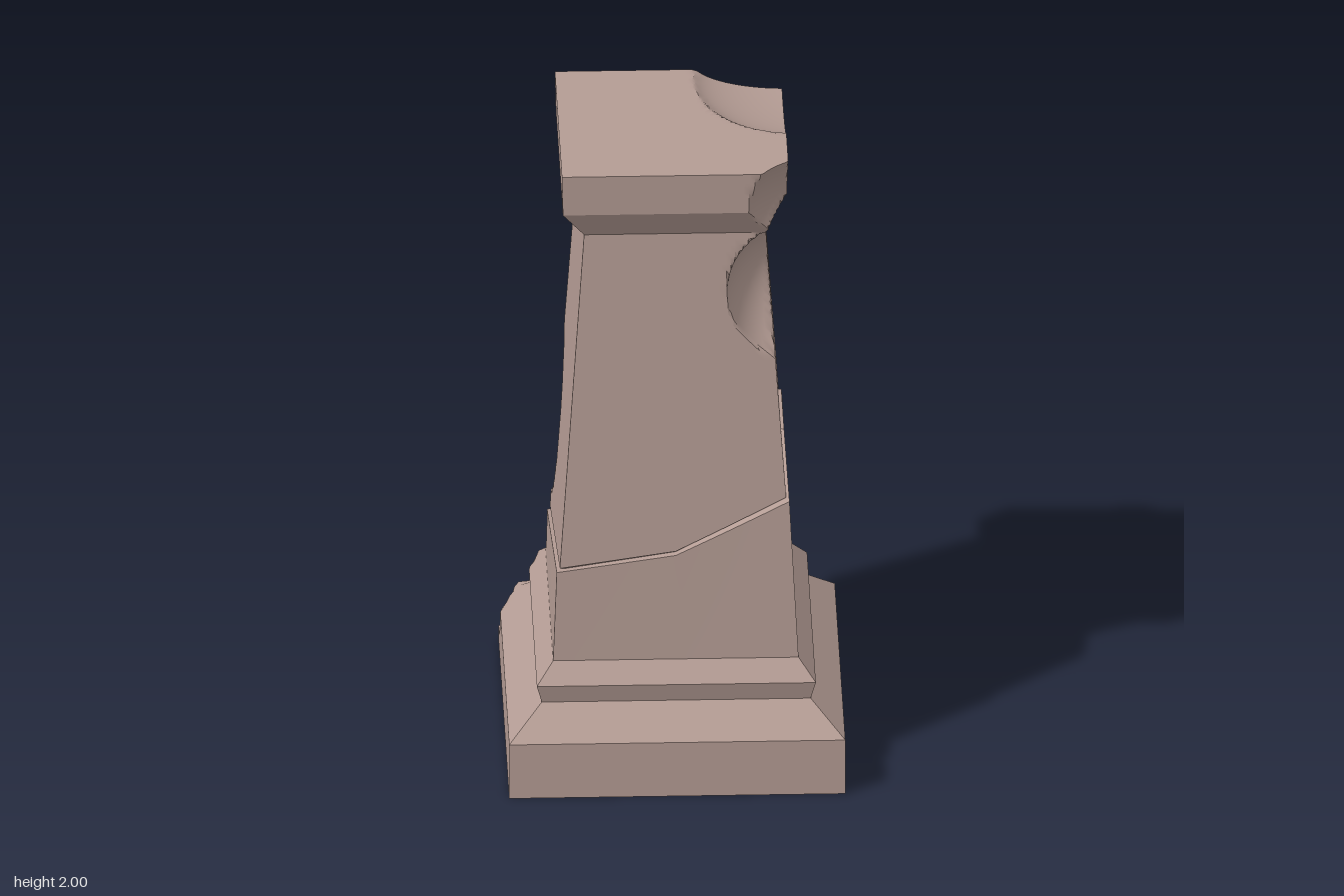
import * as THREE from 'three';
import { toCreasedNormals } from 'three/addons/utils/BufferGeometryUtils.js';

const SIDE = 40; // divisions along each side of the square
const LOOP = SIDE * 4;
const lerp = THREE.MathUtils.lerp;

// Chipped places: ellipsoid centre, radii, and the direction stone is pushed in
const CHIPS = [
  { c: [0.36, 2.03, -0.27], r: [0.3, 0.1, 0.36], d: [0, -1, 0] },        // cap top
  { c: [0.46, 1.87, 0.46], r: [0.27, 0.265, 0.27], d: [-1, 0, -1] },     // cap corner
  { c: [0.38, 1.58, 0.48], r: [0.244, 0.24, 0.515], d: [-1, 0, -1] },    // upper shaft
  { c: [0.40, 0.9, -0.42], r: [0.22, 0.2, 0.24], d: [-1, 0, 1] },        // end of crack
  { c: [-0.41, 0.9, -0.41], r: [0.24, 0.325, 0.255], d: [1, 0, 1] },     // middle shaft
  { c: [-0.42, 0.51, -0.42], r: [0.14, 0.15, 0.14], d: [1, 0, 1] },      // shaft foot
  { c: [-0.46, 0.32, -0.46], r: [0.12, 0.09, 0.12], d: [1, 0, 1] },      // moulding
  { c: [-0.55, 0.17, -0.55], r: [0.13, 0.13, 0.2], d: [1, 0, 1] },       // plinth
];

// Slide a point lying inside a chip along its direction onto the chip's wall
function carve(p) {
  for (const { c, r, d } of CHIPS) {
    let A = 0, B = 0, C = -1;
    for (let k = 0; k < 3; k++) {
      const q = (p[k] - c[k]) / r[k], e = d[k] / r[k];
      A += e * e; B += q * e; C += q * q;
    }
    if (C >= 0) continue;
    const t = (-B + Math.sqrt(B * B - A * C)) / A;
    for (let k = 0; k < 3; k++) p[k] += d[k] * t;
  }
  return p;
}

// Point on the unit square, starting front left and going round past +x
function square(i) {
  const u = (i % SIDE) / SIDE * 2 - 1;
  return [[u, 1], [1, -u], [-u, -1], [-1, u]][Math.floor(i / SIDE) % 4];
}

// Skin a stack of square loops; rows[j](i) gives [height, half width]
function skin(name, rows, material) {
  const pos = [], index = [];
  rows.forEach((row, j) => {
    for (let i = 0; i <= LOOP; i++) {
      const [y, h] = row(i % LOOP), [x, z] = square(i);
      pos.push(...carve([x * h, y, z * h]));
      if (j === 0 || i === LOOP) continue;
      const a = (j - 1) * (LOOP + 1) + i, c = a + LOOP + 1;
      index.push(a, a + 1, c, a + 1, c + 1, c);
    }
  });
  const g = new THREE.BufferGeometry();
  g.setAttribute('position', new THREE.Float32BufferAttribute(pos, 3));
  g.setIndex(index);
  const mesh = new THREE.Mesh(toCreasedNormals(g, 0.5), material);
  mesh.name = name;
  return mesh;
}

// Evenly divided rows through profile points [height, half width, steps]
function profileRows(points) {
  const rows = [];
  points.forEach(([y, h, steps], k) => {
    if (k === 0) return rows.push(() => [y, h]);
    const [y0, h0] = points[k - 1];
    for (let s = 1; s <= steps; s++) {
      const t = s / steps;
      rows.push(() => [lerp(y0, y, t), lerp(h0, h, t)]);
    }
  });
  return rows;
}

// Crack around the shaft: [sides travelled, height]
const CRACK = [[0, 0.68], [0.5, 0.73], [1, 0.9], [1.25, 1.05], [1.56, 1.08],
  [1.8, 0.98], [2, 0.8], [3, 0.54], [4, 0.68]];
function crackHeight(i) {
  const s = i / SIDE;
  const k = CRACK.findIndex(([e]) => e > s);
  const [s0, y0] = CRACK[k - 1], [s1, y1] = CRACK[k];
  return lerp(y0, y1, (s - s0) / (s1 - s0));
}

// Shaft rows follow the crack, with a small ledge and groove along it
function shaftRows() {
  const width = y => lerp(0.365, 0.27, (y - 0.39) / 1.38);
  const rows = [], low = 26, high = 46;
  for (let s = 0; s <= low; s++) rows.push(i => {
    const y = lerp(0.39, crackHeight(i), s / low);
    return [y, width(y) + 0.009 * s / low];
  });
  rows.push(i => [crackHeight(i) + 0.002, width(crackHeight(i)) - 0.012]);
  for (let s = 0; s <= high; s++) rows.push(i => {
    const y = lerp(crackHeight(i) + 0.009, 1.77, s / high);
    return [y, width(y)];
  });
  return rows;
}

export function createModel() {
  const stone = new THREE.MeshStandardMaterial({ color: 0xb49c94, side: THREE.DoubleSide });
  const pillar = new THREE.Group();
  pillar.name = 'brokenPillar';
  pillar.add(
    // Hollow plinth and moulding, open underneath
    skin('base', profileRows([[0, 0.5], [0.18, 0.5, 10], [0.27, 0.4, 7],
      [0.33, 0.415, 5], [0.39, 0.365, 5]]), stone),
    skin('shaft', shaftRows(), stone),
    // Flared cap, closed by shrinking loops
    skin('cap', profileRows([[1.77, 0.27], [1.87, 0.335, 8], [2, 0.338, 10],
      [2, 0, 24]]), stone),
  );
  return pillar;
}
